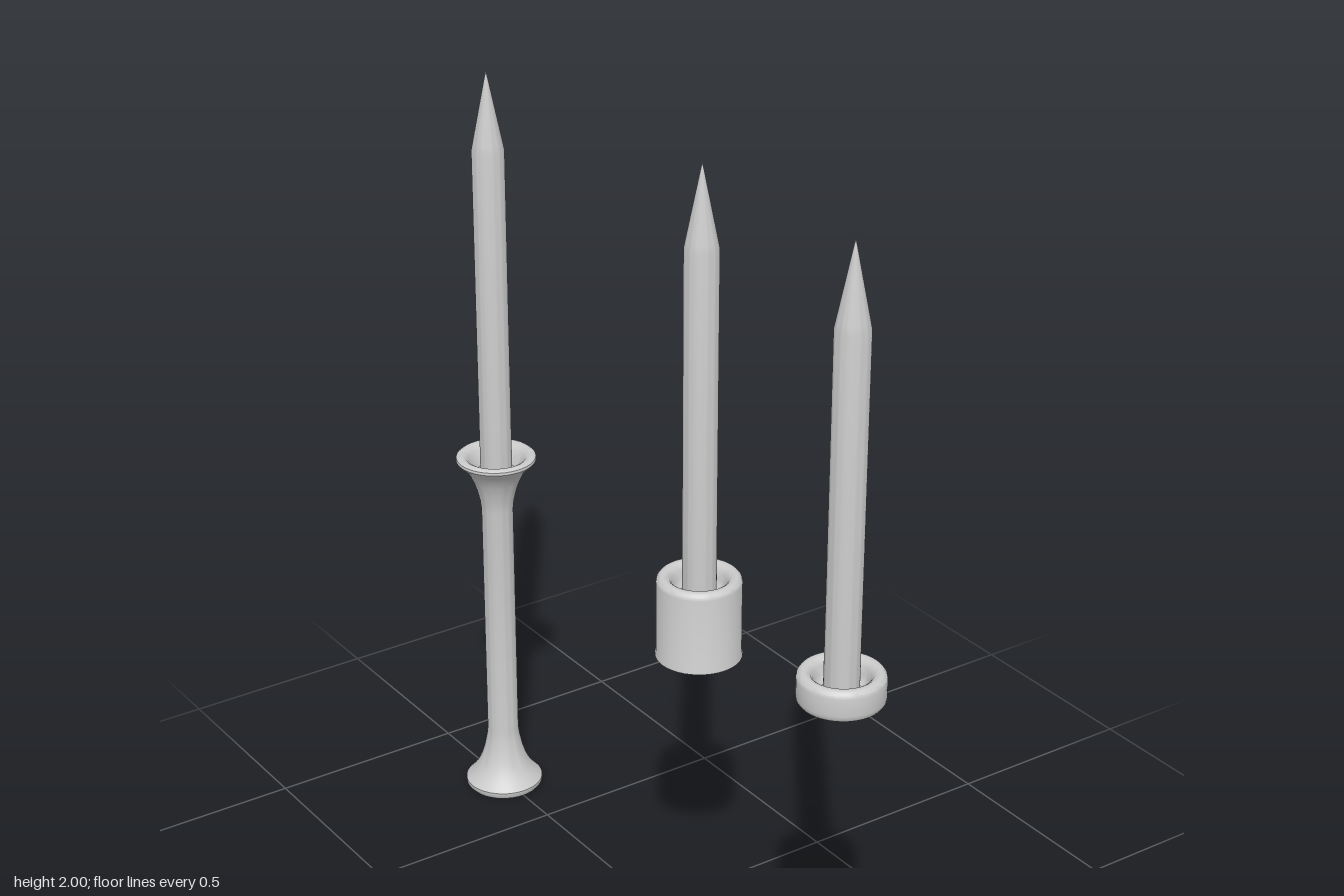
import * as THREE from 'three';
import { toCreasedNormals } from 'three/addons/utils/BufferGeometryUtils.js';

const material = new THREE.MeshStandardMaterial({ color: 0xcccccc });
const SEGMENTS = 40;

// Turned part from a profile of [radius, height] pairs, listed upwards along the outside
function turned(name, profile) {
  const points = profile.map(([r, y]) => new THREE.Vector2(r, y));
  const geometry = toCreasedNormals(new THREE.LatheGeometry(points, SEGMENTS), 0.7);
  const mesh = new THREE.Mesh(geometry, material);
  mesh.name = name;
  return mesh;
}

// Rounded lip and hollow of a cup whose rim is at height top
const lip = (top) => [
  [0.1, top - 0.016], [0.098, top - 0.008], [0.093, top - 0.002], [0.086, top],
  [0.077, top - 0.001], [0.07, top - 0.006], [0.064, top - 0.016],
  [0.06, top - 0.03], [0.056, top - 0.042], [0.048, top - 0.05], [0, top - 0.052],
];

// Straight candle with a long pointed tip
const candle = (bottom, tip) => turned('candle', [
  [0, bottom], [0.04, bottom], [0.04, tip - 0.2], [0.036, tip - 0.18], [0, tip],
]);

function assemble(name, z, ...parts) {
  const group = new THREE.Group();
  group.name = name;
  group.position.z = z;
  group.add(...parts);
  return group;
}

export function createModel() {
  const model = new THREE.Group();
  model.name = 'candles';

  // Shallow cup with rounded edges
  const shallowCup = turned('shallowCup', [
    [0, 0.925], [0.088, 0.925], [0.095, 0.928], [0.099, 0.934], [0.1, 0.942], ...lip(1),
  ]);

  // Deep cup with a sharp bottom edge
  const deepCup = turned('deepCup', [[0, 0.795], [0.102, 0.795], [0.102, 0.8], [0.1, 0.805], ...lip(1)]);

  // Slender stick with a flared foot and a flared drip pan
  const stick = turned('candlestick', [
    [0, 0.004], [0.094, 0.004], [0.1, 0.012], [0.1, 0.022], [0.094, 0.029],
    [0.084, 0.04], [0.07, 0.06], [0.059, 0.083], [0.05, 0.112], [0.043, 0.145], [0.04, 0.17],
    [0.04, 0.81], [0.043, 0.835], [0.05, 0.864], [0.059, 0.89], [0.07, 0.912],
    [0.084, 0.93], [0.096, 0.941], [0.101, 0.948], [0.1, 0.955], [0.094, 0.96],
    [0.085, 0.96], [0.076, 0.955], [0.069, 0.945], [0.061, 0.93], [0.053, 0.912], [0, 0.905],
  ]);
  stick.position.y = -0.004;

  model.add(
    assemble('shallowCandle', 0.71, shallowCup, candle(0.94, 2)),
    assemble('deepCandle', 0.175, deepCup, candle(0.94, 2)),
    assemble('tallCandlestick', -0.71, stick, candle(0.89, 1.96)),
  );
  return model;
}
